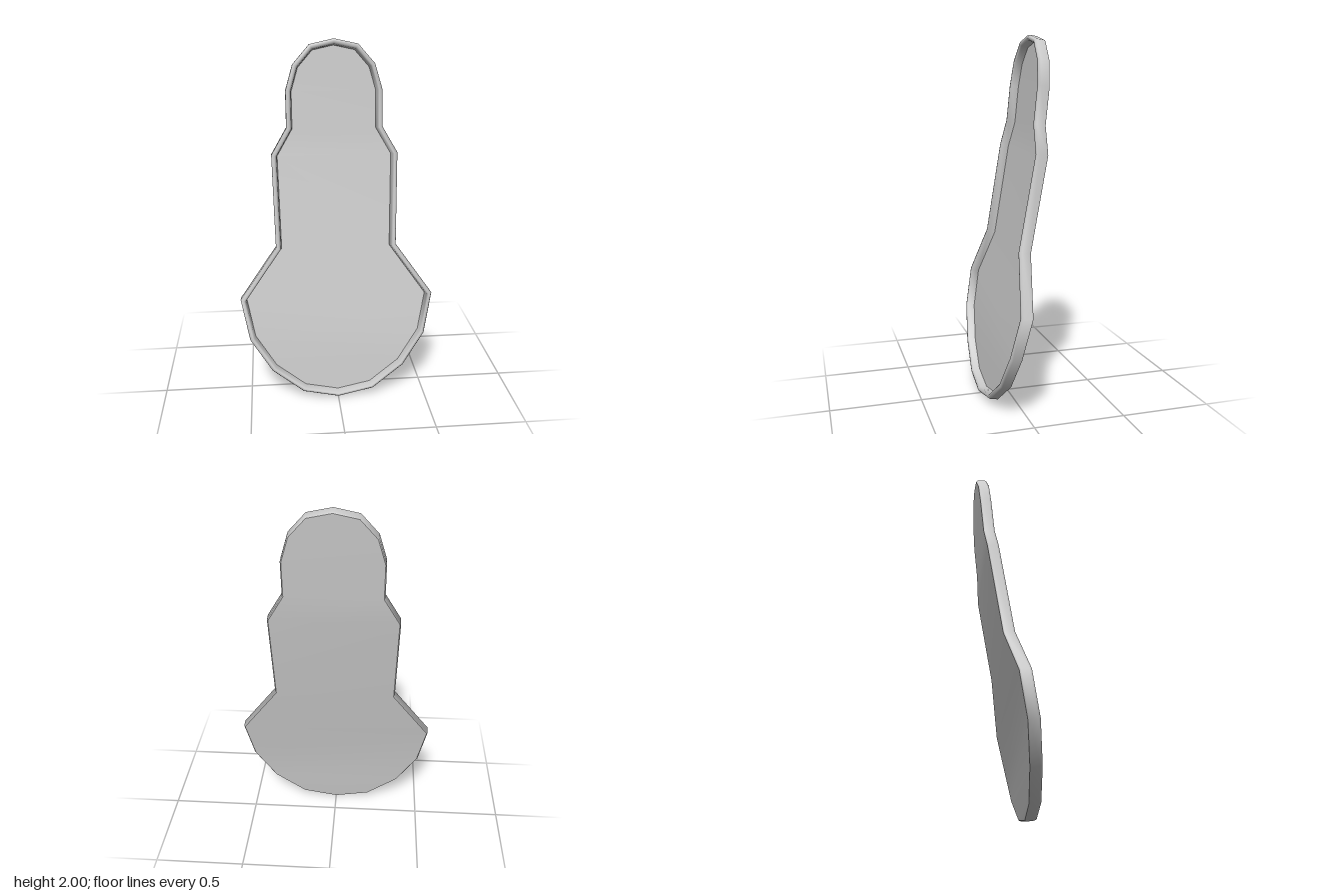
import * as THREE from 'three';

// right half of the outline, top to bottom: x, y, z of the mid surface
const HALF = [
  [0, 1.995, -0.142], [0.13, 1.967, -0.14], [0.22, 1.865, -0.131], [0.26, 1.73, -0.12],
  [0.26, 1.535, -0.1], [0.345, 1.39, -0.086], [0.335, 0.885, 0], [0.54, 0.6, 0.052],
  [0.495, 0.37, 0.096], [0.375, 0.18, 0.119], [0.2, 0.045, 0.136], [0, 0.005, 0.143],
];
const LAST = HALF.length - 1;
const OUTLINE = [...HALF, ...HALF.slice(1, -1).reverse().map(([x, y, z]) => [-x, y, z])];
const N = OUTLINE.length;

// rim cross-section from back to front to inner floor: inset, depth
const SECTION = [
  [0.006, -0.031], [0, -0.024], [0, 0.018], [0.006, 0.029],
  [0.018, 0.031], [0.027, 0.022], [0.032, -0.014],
];

// bend of the plate: z for a given height
function bend(y) {
  let i = 0;
  while (i < LAST - 1 && y < HALF[i + 1][1]) i++;
  const [, y0, z0] = HALF[i], [, y1, z1] = HALF[i + 1];
  return z0 + (z1 - z0) * (y - y0) / (y1 - y0);
}

// outline inset with mitred corners and pushed along the plate's depth
function ring(inset, depth) {
  return OUTLINE.map((p, i) => {
    const a = OUTLINE[(i + N - 1) % N], b = OUTLINE[(i + 1) % N];
    const n1 = new THREE.Vector2(p[1] - a[1], a[0] - p[0]).normalize();
    const n2 = new THREE.Vector2(b[1] - p[1], p[0] - b[0]).normalize();
    const m = n1.clone().add(n2).multiplyScalar(inset / (1 + n1.dot(n2)));
    const y = p[1] + m.y;
    return [p[0] + m.x, y + depth * 0.15, bend(y) + depth];
  });
}

function makeMesh(name, points, index) {
  const g = new THREE.BufferGeometry();
  g.setAttribute('position', new THREE.Float32BufferAttribute(points.flat(), 3));
  g.setIndex(index);
  g.computeVertexNormals();
  const mesh = new THREE.Mesh(g, new THREE.MeshStandardMaterial({ color: 0xcccccc }));
  mesh.name = name;
  return mesh;
}

// sheet filling a ring with strips from left to right
function makePanel(name, points, facesFront) {
  const index = [];
  const tri = (a, b, c) => index.push(...(facesFront ? [a, b, c] : [a, c, b]));
  for (let r = 0; r < LAST; r++) {
    const left = (N - r) % N, nextLeft = N - r - 1;
    if (nextLeft !== r + 1) tri(left, nextLeft, r + 1);
    if (r > 0) tri(left, r + 1, r);
  }
  return makeMesh(name, points, index);
}

export function createModel() {
  const group = new THREE.Group();
  group.name = 'rimmedPlate';
  const rings = SECTION.map(([inset, depth]) => ring(inset, depth));

  // raised rim
  const index = [];
  for (let j = 0; j < rings.length - 1; j++) {
    for (let i = 0; i < N; i++) {
      const k = (i + 1) % N;
      const a = j * N + i, b = a + N, c = j * N + k, d = c + N;
      index.push(a, b, c, b, d, c);
    }
  }
  group.add(makeMesh('rim', rings.flat(), index));

  // recessed front and plain back
  group.add(makePanel('frontPanel', rings[rings.length - 1], true));
  group.add(makePanel('backPanel', rings[0], false));
  return group;
}
